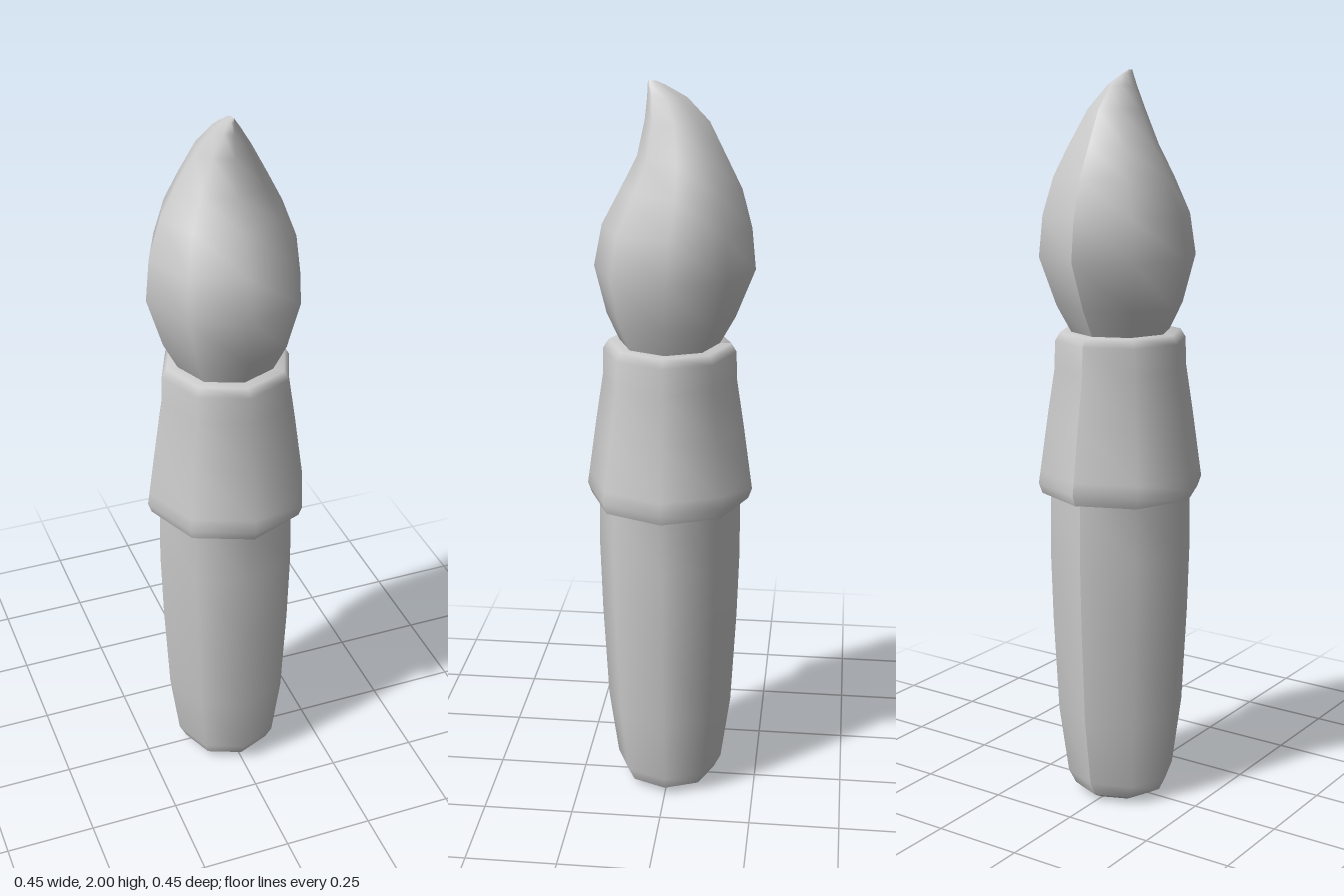
import * as THREE from 'three';

const SIDES = 8;
const material = new THREE.MeshStandardMaterial({ color: 0xcccccc });

// Eight-sided turned part with its seam at the back; profile is [radius, y] from bottom to top
function turned(name, profile) {
  const points = profile.map(([r, y]) => new THREE.Vector2(r, y));
  const geometry = new THREE.LatheGeometry(points, SIDES, Math.PI);
  geometry.computeVertexNormals();
  const mesh = new THREE.Mesh(geometry, material);
  mesh.name = name;
  return mesh;
}

// Bristle tuft: a unit lathe whose rings are stretched to each section's width, front and back
function bristleTuft() {
  // [y, half width, front z, back z]
  const sections = [
    [1.30, 0.125, 0.125, -0.125],
    [1.39, 0.172, 0.168, -0.175],
    [1.52, 0.211, 0.200, -0.226],
    [1.63, 0.199, 0.178, -0.215],
    [1.73, 0.163, 0.125, -0.188],
    [1.81, 0.122, 0.084, -0.148],
    [1.90, 0.072, 0.064, -0.103],
    [1.96, 0.032, 0.057, -0.045],
    [1.99, 0.009, 0.056, 0.010],
    [2.00, 0.001, 0.054, 0.036],
  ];
  const tuft = turned('bristles', sections.map(([y]) => [1, y]));
  const position = tuft.geometry.attributes.position;
  for (let i = 0; i < position.count; i++) {
    const [y, halfWidth, front, back] = sections[i % sections.length];
    const x = position.getX(i) * halfWidth;
    const z = (front + back) / 2 + position.getZ(i) * (front - back) / 2;
    position.setXYZ(i, x, y, z);
  }
  tuft.geometry.computeVertexNormals();
  return tuft;
}

export function createModel() {
  const brush = new THREE.Group();
  brush.name = 'paintbrush';

  brush.add(
    // Handle with a shallow bevelled end
    turned('handleEnd', [[0, 0], [0.10, 0.003], [0.13, 0.02]]),
    turned('handle', [
      [0.13, 0.02], [0.15, 0.06], [0.176, 0.25], [0.19, 0.52], [0.196, 0.72], [0.194, 0.89],
    ]),
    // Flared collar, underside first
    turned('collarUnderside', [[0.18, 0.877], [0.217, 0.877]]),
    turned('collar', [
      [0.217, 0.877], [0.227, 0.905], [0.222, 0.94], [0.201, 1.09],
      [0.181, 1.22], [0.179, 1.295], [0.165, 1.318], [0.11, 1.318],
    ]),
    bristleTuft(),
  );
  return brush;
}
